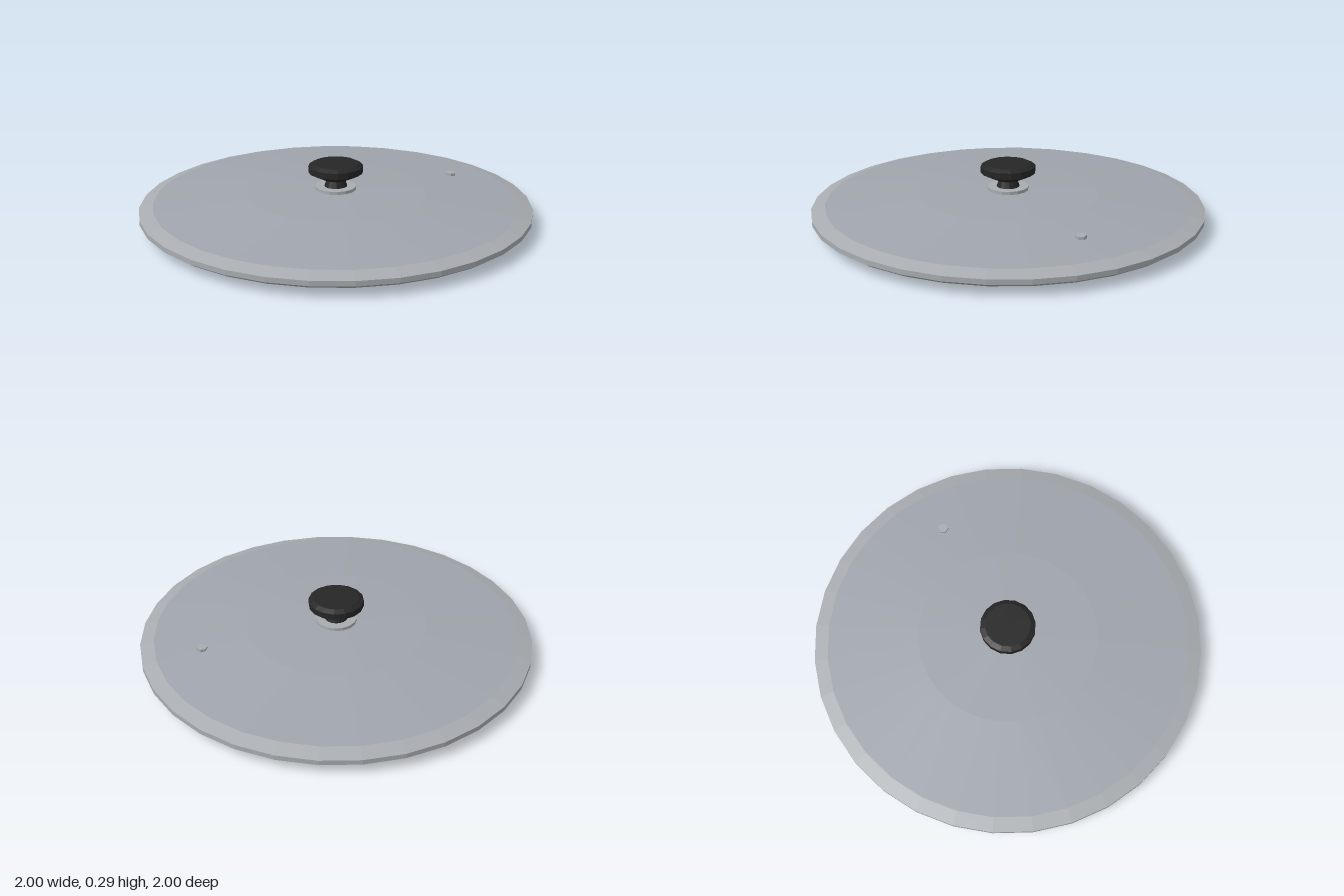
import * as THREE from 'three';

const mat = (name, color) => {
  const m = new THREE.MeshStandardMaterial({ color, flatShading: true });
  m.name = name;
  return m;
};

export function createModel() {
  const lid = new THREE.Group();
  lid.name = 'potLid';

  const glass = mat('smokyGlass', 0xa0a5ad);
  const steel = mat('steel', 0xa8acb0);
  const black = mat('blackPlastic', 0x262626);

  const add = (name, geometry, material) => {
    const mesh = new THREE.Mesh(geometry, material);
    mesh.name = name;
    lid.add(mesh);
    return mesh;
  };
  // Profiles run from the bottom centre outward and up to the top
  const turn = (name, profile, sides, material) =>
    add(name, new THREE.LatheGeometry(profile.map(([r, y]) => new THREE.Vector2(r, y)), sides), material);

  // Shallow domed top
  turn('dome', [[0.93, 0.107], [0.46, 0.148], [0, 0.162]], 32, glass);

  // Bevelled outer rim with its flat underside
  turn('rim', [[0.86, 0.043], [0.975, 0.043], [1, 0.06], [1, 0.085], [0.93, 0.107]], 32, steel);

  // Locating ring that sits inside the pot
  turn('innerRing', [[0.82, 0.04], [0.82, 0], [0.855, 0], [0.863, 0.043]], 32, steel);

  // Slightly hollow underside
  turn('underside', [[0, 0.065], [0.82, 0.04]], 32, glass);

  // Washer under the knob
  turn('knobWasher', [[0, 0.15], [0.105, 0.15], [0.105, 0.175], [0, 0.175]], 16, steel);

  // Knob: waisted stem and flared, chamfered grip
  turn('knobStem', [[0, 0.172], [0.06, 0.172], [0.043, 0.22], [0, 0.22]], 16, black);
  turn('knobGrip', [[0, 0.213], [0.065, 0.213], [0.14, 0.25], [0.14, 0.282], [0.115, 0.295], [0, 0.295]], 16, black);

  // Steam vent
  const vent = add('steamVent', new THREE.CylinderGeometry(0.027, 0.027, 0.03, 6), steel);
  vent.rotation.y = Math.PI / 6;
  vent.position.set(0.7, 0.126, 0);

  return lid;
}
